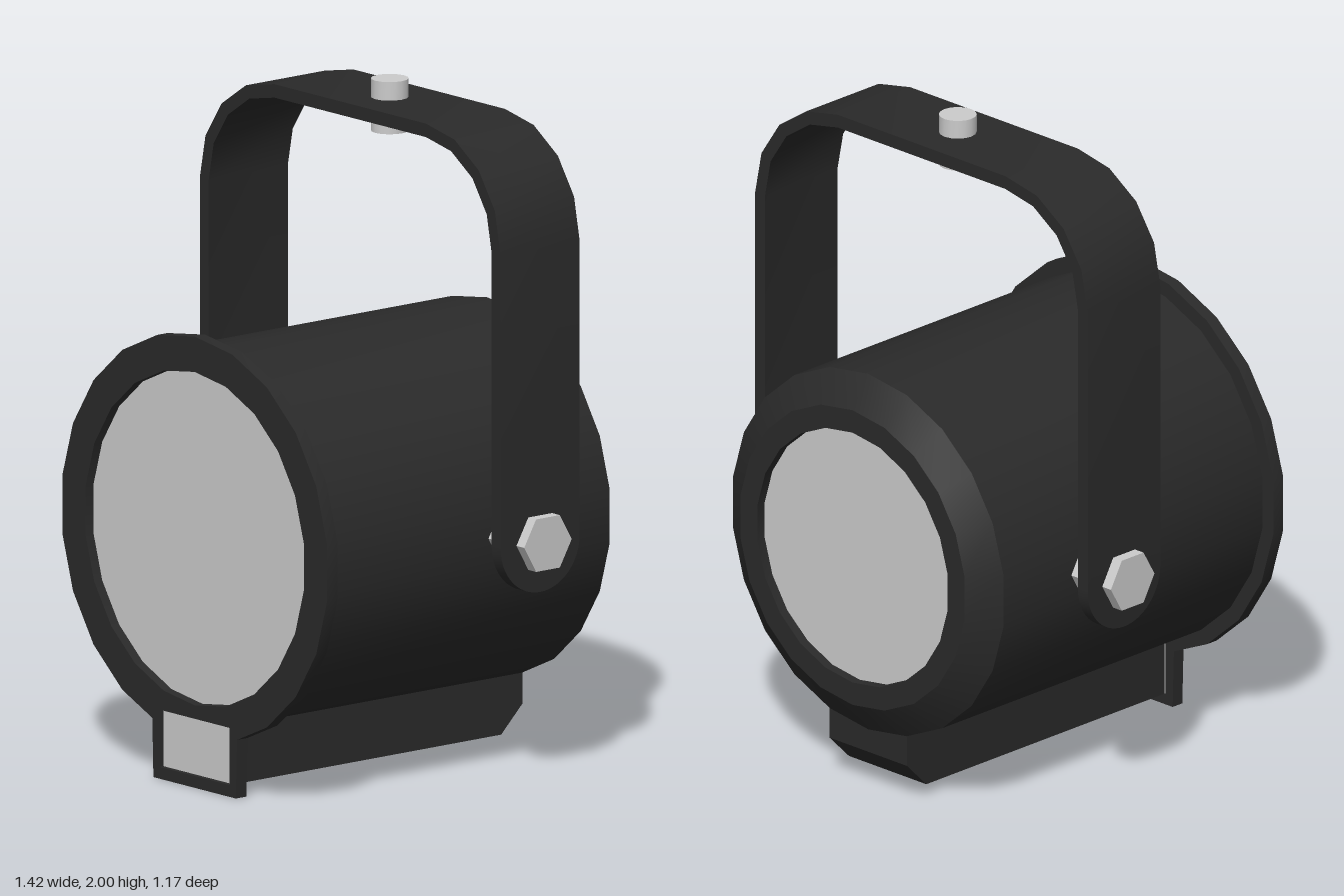
import * as THREE from 'three';
import { toCreasedNormals } from 'three/addons/utils/BufferGeometryUtils.js';

const SIDES = 22;   // facets around the lamp barrel
const AXIS_Y = 0.74; // height of barrel axis and pivot
const YOKE_Z = -0.15;

export function createModel() {
  const model = new THREE.Group();
  const black = new THREE.MeshStandardMaterial({ color: 0x2a2a2a });
  const blackOpen = new THREE.MeshStandardMaterial({ color: 0x2a2a2a, side: THREE.DoubleSide });
  const grey = new THREE.MeshStandardMaterial({ color: 0xcccccc });

  const add = (name, geometry, material, x = 0, y = 0, z = 0, parent = model) => {
    const mesh = new THREE.Mesh(toCreasedNormals(geometry, 0.5), material);
    mesh.name = name;
    mesh.position.set(x, y, z);
    parent.add(mesh);
    return mesh;
  };
  const vec = (points) => points.map(([x, y]) => new THREE.Vector2(x, y));
  const extrude = (shape, depth, curveSegments = 8) =>
    new THREE.ExtrudeGeometry(shape, { depth, bevelEnabled: false, curveSegments });
  const ringPoint = (r, k) => {
    const a = (k / SIDES) * Math.PI * 2;
    return [r * Math.sin(a), AXIS_Y + r * Math.cos(a)];
  };

  // Barrel with chamfered back and a recess for the rear glass
  const barrel = new THREE.LatheGeometry(vec([
    [0.39, -0.55], [0.39, -0.585], [0.46, -0.585], [0.555, -0.52], [0.555, 0.55],
  ]), SIDES).rotateX(Math.PI / 2);
  add('barrel', barrel, blackOpen, 0, AXIS_Y, 0);

  // Front flange: faceted ring and square tab in one plate
  const outline = [];
  for (let k = -9; k <= 9; k++) outline.push(ringPoint(0.6, k));
  outline.push([0.19, 0.175], [0.185, 0], [-0.185, 0], [-0.19, 0.175]);
  const flange = new THREE.Shape(vec(outline));
  const lensHole = [];
  for (let k = 0; k < SIDES; k++) lensHole.push(ringPoint(0.495, k));
  flange.holes.push(new THREE.Path(vec(lensHole)));
  flange.holes.push(new THREE.Path(vec([
    [-0.157, 0.035], [0.157, 0.035], [0.157, 0.205], [-0.157, 0.205],
  ])));
  add('frontFlange', extrude(flange, 0.04), black, 0, 0, 0.55);

  // Glass discs, slightly recessed
  const disc = (r) => new THREE.CylinderGeometry(r, r, 0.02, SIDES).rotateX(Math.PI / 2);
  add('frontLens', disc(0.495), grey, 0, AXIS_Y, 0.55);
  add('rearLens', disc(0.39), grey, 0, AXIS_Y, -0.545);

  // Box under the barrel: side profile (z, y) extruded across x
  const boxProfile = new THREE.Shape(vec([
    [-0.55, 0.035], [0.44, 0.035], [0.52, 0.115], [0.52, 0.21], [-0.55, 0.21],
  ]));
  const box = extrude(boxProfile, 0.314).translate(0, 0, -0.157).rotateY(Math.PI / 2);
  add('lowerBox', box, black);
  add('lowerPanel', new THREE.BoxGeometry(0.314, 0.17, 0.03), grey, 0, 0.12, 0.56);

  // Yoke: arch with rounded corners
  const yoke = new THREE.Group();
  yoke.name = 'yoke';
  model.add(yoke);
  const arc = (r) => {
    const points = [[0.34 + r, AXIS_Y]];
    for (let i = 0; i <= 4; i++) {
      const a = (i / 4) * Math.PI / 2;
      points.push([0.34 + r * Math.cos(a), 1.61 + r * Math.sin(a)]);
    }
    const mirrored = points.map(([x, y]) => [-x, y]).reverse();
    return [...points, ...mirrored];
  };
  const arch = new THREE.Shape(vec([...arc(0.335), ...arc(0.295).reverse()]));
  add('yokeArch', extrude(arch, 0.3), black, 0, 0, YOKE_Z - 0.15, yoke);

  // Rounded yoke ends and pivot bolts, one per side
  const halfDisc = new THREE.Shape();
  halfDisc.absarc(0, 0, 0.15, Math.PI, Math.PI * 2, false);
  for (const [side, s] of [['left', 1], ['right', -1]]) {
    const end = extrude(halfDisc, 0.04, 12).translate(0, 0, -0.02).rotateY(Math.PI / 2);
    add(`${side}YokeEnd`, end, black, s * 0.655, AXIS_Y, YOKE_Z, yoke);
    const bolt = new THREE.CylinderGeometry(0.09, 0.09, 0.18, 6).rotateZ(Math.PI / 2);
    add(`${side}PivotBolt`, bolt, grey, s * 0.62, AXIS_Y, YOKE_Z);
  }

  // Hanging stud through the top of the yoke
  add('topStud', new THREE.CylinderGeometry(0.055, 0.055, 0.155, 16), grey, 0, 1.9225, YOKE_Z);

  return model;
}
